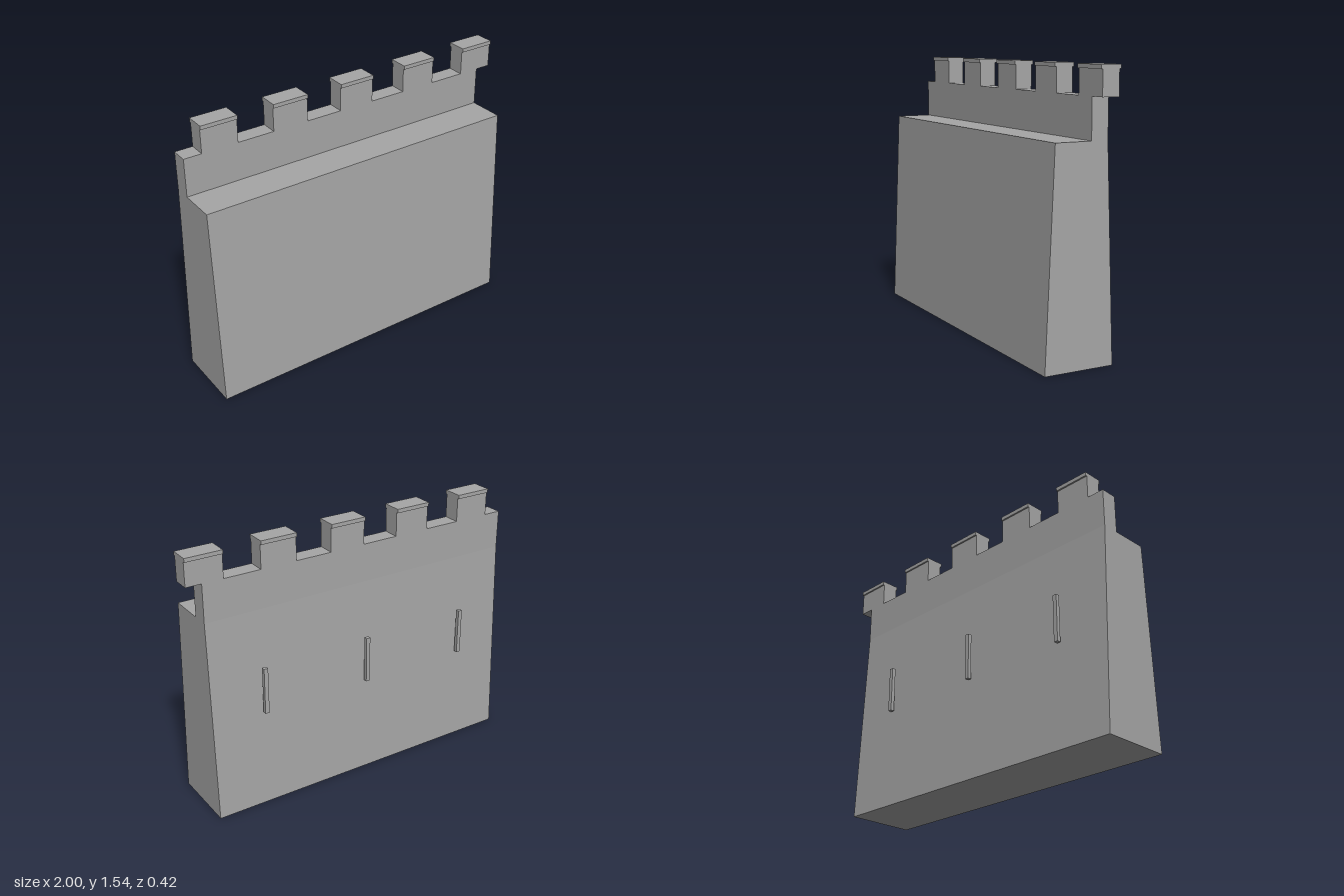
import * as THREE from 'three';

export function createModel() {
  const group = new THREE.Group();
  const stone = new THREE.MeshStandardMaterial({ color: 0xa6a6a6 });
  stone.name = 'grey stone';

  const add = (name, geometry) => {
    const mesh = new THREE.Mesh(geometry, stone);
    mesh.name = name;
    group.add(mesh);
  };
  // Box given by its lower and upper corners
  const block = (name, x0, x1, y0, y1, z0, z1) =>
    add(name, new THREE.BoxGeometry(x1 - x0, y1 - y0, z1 - z0)
      .translate((x0 + x1) / 2, (y0 + y1) / 2, (z0 + z1) / 2));

  // Battered wall with walkway and parapet: [z, y] section swept along x
  const section = [[0.209, 0], [0.16, 1.162], [-0.048, 1.162], [-0.048, 1.38],
    [-0.145, 1.38], [-0.145, 1.162], [-0.193, 0]];
  const shape = new THREE.Shape(section.map(([z, y]) => new THREE.Vector2(-z, y)));
  const wall = new THREE.ExtrudeGeometry(shape, { depth: 1.91, bevelEnabled: false });
  add('wall', wall.rotateY(Math.PI / 2).translate(-1, 0, 0));

  // Merlons with overhanging cap stones; the last one projects past the wall end
  for (let i = 0; i < 5; i++) {
    const x = -0.898 + i * 0.4218;
    block('merlon', x, x + 0.21, 1.38, 1.515, -0.145, -0.048);
    block('merlonCap', x, x + 0.21, 1.515, 1.537, -0.154, -0.04);
  }

  // Arrow slit strips standing just off the back face
  for (let i = 0; i < 3; i++) {
    const x = -0.698 + i * 0.651;
    block('arrowSlit', x - 0.012, x + 0.012, 0.576, 0.845, -0.209, -0.187);
  }
  return group;
}
